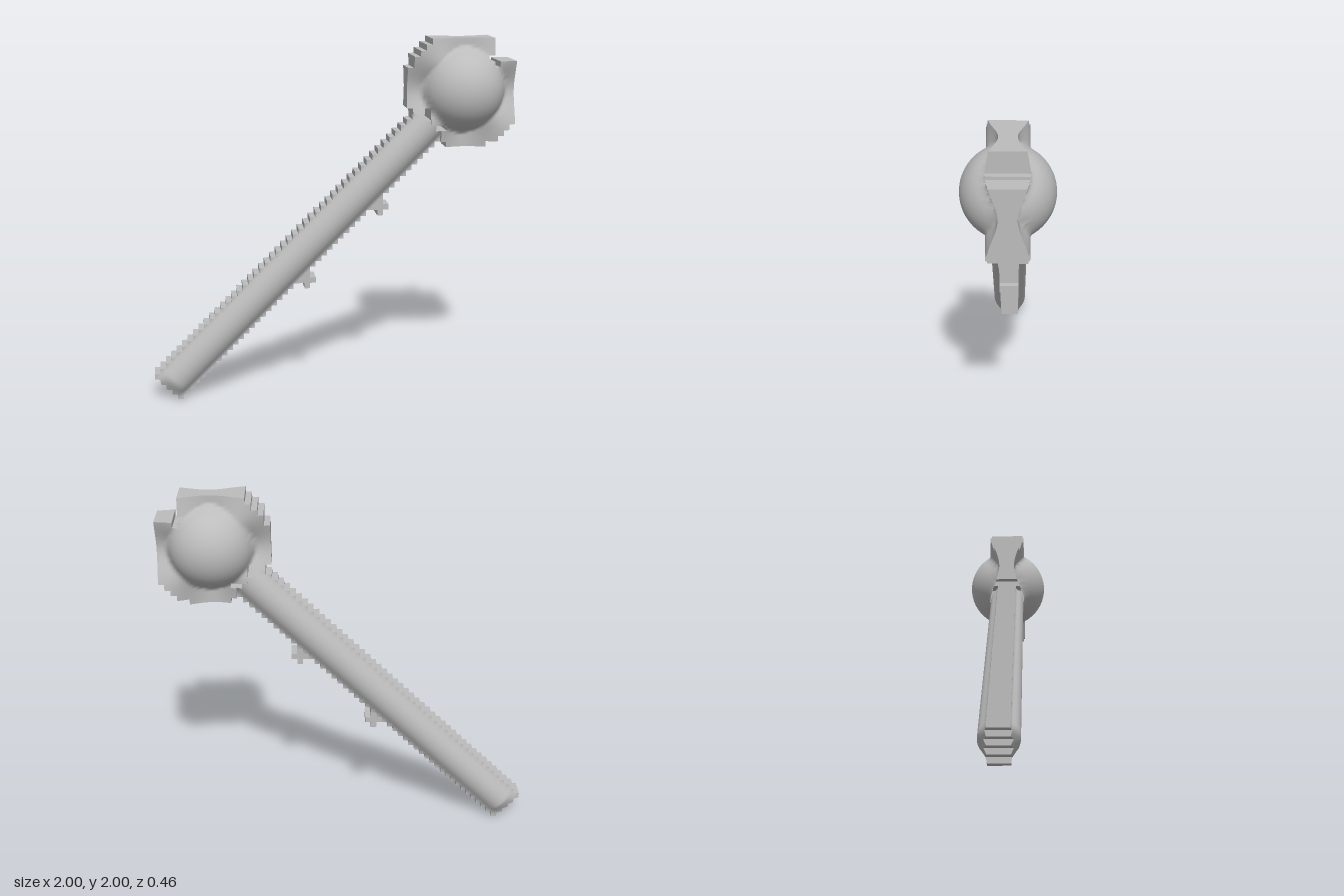
import * as THREE from 'three';
import { mergeVertices, mergeGeometries } from 'three/addons/utils/BufferGeometryUtils.js';

// The mace is an inflated stepped silhouette: 64 x 64 cells, each cut into SUB x SUB faces.
const CELL = 1 / 32, GRID = 64, SUB = 2;
const clamp = THREE.MathUtils.clamp;

function makeGeometry(points, triangles) {
  const geometry = new THREE.BufferGeometry();
  geometry.setAttribute('position', new THREE.Float32BufferAttribute(triangles.flatMap((k) => points[k]), 3));
  return geometry;
}

// inside(i, j) picks cells; depth(u, v) gives the half thickness at a grid point.
function inflate(inside, depth) {
  const facePoints = [], faceTris = [], wallPoints = [], wallTris = [];
  const filled = (a, b) => inside(Math.floor(a / SUB), Math.floor(b / SUB));
  const point = (a, b, side) => {
    const u = a / SUB, v = b / SUB;
    return [u * CELL - 1, v * CELL, side * depth(u, v)];
  };
  const quad = (points, tris, corners) => {
    const k = points.length;
    points.push(...corners);
    tris.push(k, k + 1, k + 2, k, k + 2, k + 3);
  };
  for (let a = 0; a < GRID * SUB; a++) {
    for (let b = 0; b < GRID * SUB; b++) {
      if (!filled(a, b)) continue;
      const ring = [[a, b], [a + 1, b], [a + 1, b + 1], [a, b + 1]];
      const outward = [[0, -1], [1, 0], [0, 1], [-1, 0]];
      quad(facePoints, faceTris, ring.map(([x, y]) => point(x, y, 1)));
      quad(facePoints, faceTris, ring.map(([x, y]) => point(x, y, -1)).reverse());
      // stepped walls along the outline
      outward.forEach(([dx, dy], n) => {
        if (filled(a + dx, b + dy)) return;
        const p = ring[n], q = ring[(n + 1) % 4];
        quad(wallPoints, wallTris, [point(...p, 1), point(...p, -1), point(...q, -1), point(...q, 1)]);
      });
    }
  }
  const faces = mergeVertices(makeGeometry(facePoints, faceTris), 1e-5);
  faces.computeVertexNormals();
  const walls = makeGeometry(wallPoints, wallTris);
  walls.computeVertexNormals();
  return mergeGeometries([faces.toNonIndexed(), walls]);
}

export function createModel() {
  const group = new THREE.Group();
  const metal = new THREE.MeshStandardMaterial({ color: 0xbcbcbc });
  metal.name = 'greyMetal';
  const add = (name, inside, depth) => {
    const mesh = new THREE.Mesh(inflate(inside, depth), metal);
    mesh.name = name;
    group.add(mesh);
  };

  // diagonal round handle with a softened butt end
  const EDGE = 0.055;
  add('handle',
    (i, j) => i >= 0 && j >= 0 && Math.abs(i - j) <= 4 && i + j >= 4 && i + j <= 97,
    (u, v) => {
      const s = (v - u) * CELL / Math.SQRT2;
      const round = Math.sqrt(Math.max(0.01 - s * s, EDGE * EDGE));
      return EDGE + (round - EDGE) * clamp((u + v - 4) / 3, 0, 1);
    });

  // two small hooks under the handle
  const hookRows = { 33: [40, 40], 34: [38, 41], 35: [39, 40], 36: [40, 40] };
  for (const [name, shift] of [['upperHook', 0], ['lowerHook', 13]]) {
    add(name, (i, j) => {
      const row = hookRows[j + shift];
      return !!row && i + shift >= row[0] && i + shift <= row[1] && i - j > 4;
    }, () => EDGE);
  }

  // ball head wrapped in a stepped, wavy flange with a notch at its far corner
  const CENTRE = 55, RADIUS = 0.23;
  add('flangedHead', (i, j) => {
    const low = Math.min(i, j), high = Math.max(i, j), d = high - low, sum = i + j;
    if (low < 45 || high > 63 || d > 14 || sum < (d > 4 ? 97 : 98)) return false;
    if (low === 45 && high === 59) return false;
    if ((high >= 61 && low >= 60) || (high === 60 && low >= 59)) return false;
    return !(sum <= 99 && (d === 2 || d === 3));
  }, (u, v) => {
    const x = (u - CENTRE) * CELL, y = (v - CENTRE) * CELL;
    const flange = 0.075 - 0.03 * Math.cos(4 * Math.atan2(y, x));
    const ball = Math.sqrt(Math.max(0, RADIUS * RADIUS - x * x - y * y));
    return Math.max(ball, flange);
  });

  return group;
}
